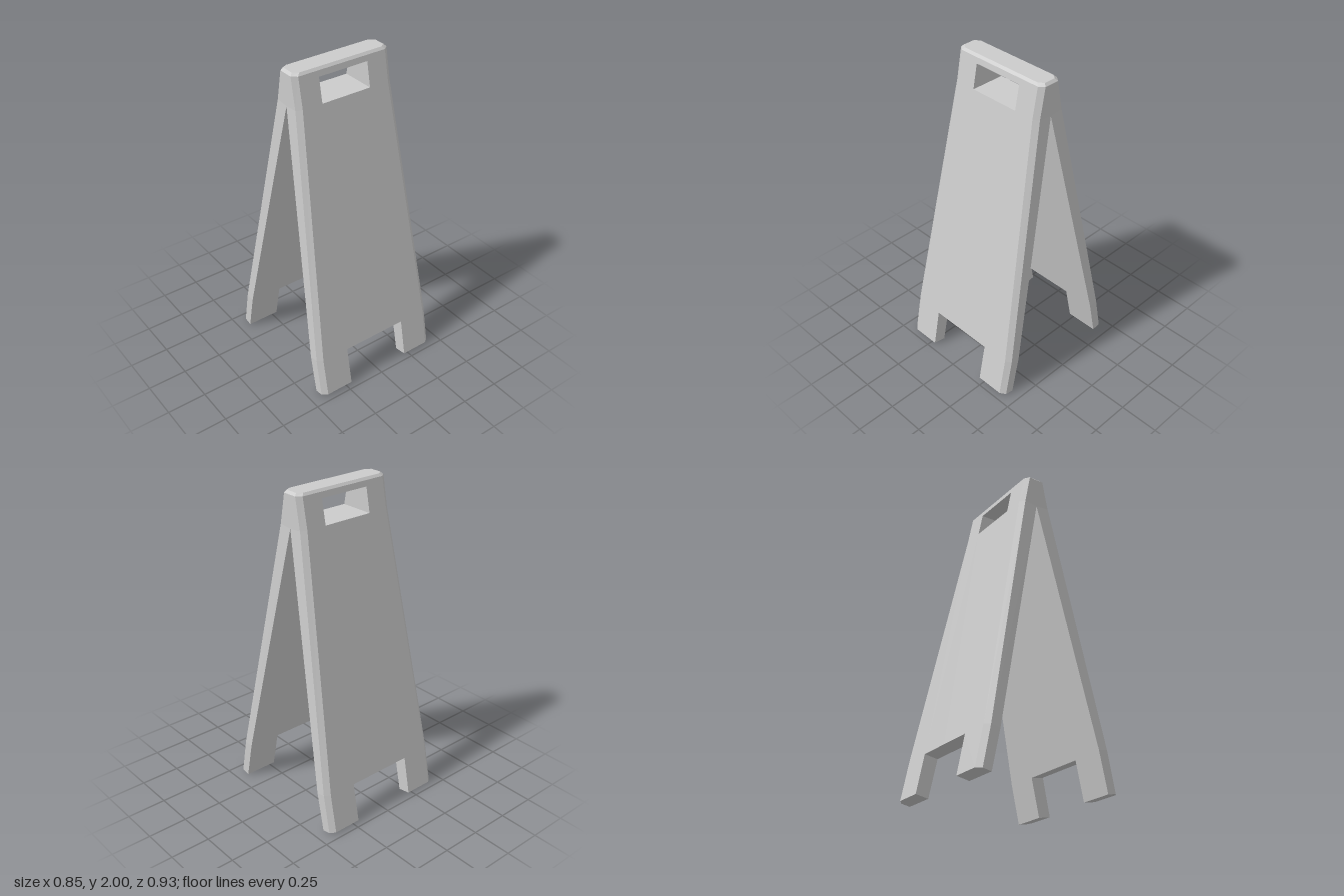
import * as THREE from 'three';

const material = new THREE.MeshStandardMaterial({ color: 0xcccccc });

// Depth of the sloping outer and inner panel surfaces at height y
const outerZ = (y) => 0.073 + (1.985 - y) * 0.1995;
const innerZ = (y) => Math.max(0, (1.79 - y) * 0.215);
const outer = (x, y) => [x, y, outerZ(y)];
const inner = (x, y) => [x, y, innerZ(y)];

// Side edge from top to foot: face edge, chamfer edge, inner edge
const rows = [
  [[0.28, 2, 0.06], [0.312, 2, 0.038], [0.312, 2, 0]],
  [outer(0.295, 1.985), [0.327, 1.985, 0.048], [0.327, 1.985, 0]],
  [outer(0.295, 1.8), [0.327, 1.797, 0.085], inner(0.327, 1.79)],
  [outer(0.395, 0.26), [0.427, 0.255, 0.391], inner(0.427, 0.245)],
  [outer(0.395, 0.015), [0.427, 0.01, 0.44], inner(0.427, 0)],
];

// Split a flat outline, counter-clockwise in x/y, into triangles on a surface
function face(points, surface, flip) {
  const contour = points.map(([x, y]) => new THREE.Vector2(x, y));
  return THREE.ShapeUtils.triangulateShape(contour, []).map((tri) => {
    const corners = tri.map((i) => surface(...points[i]));
    return flip ? corners.reverse() : corners;
  });
}

// Side strips between two rows
const strips = (a, b) => [0, 1].map((c) => [b[c], b[c + 1], a[c + 1], a[c]]);

// Mirror quarter polygons in x (and the given z signs) into a flat-faced mesh
function mirrored(name, polygons, zSigns) {
  const positions = [];
  for (const sz of zSigns) for (const sx of [1, -1]) {
    for (const polygon of polygons) {
      const p = polygon.map(([x, y, z]) => [x * sx, y, z * sz]);
      if (sx * sz < 0) p.reverse();
      for (let i = 1; i < p.length - 1; i++) positions.push(...p[0], ...p[i], ...p[i + 1]);
    }
  }
  const geometry = new THREE.BufferGeometry();
  geometry.setAttribute('position', new THREE.Float32BufferAttribute(positions, 3));
  geometry.computeVertexNormals();
  const mesh = new THREE.Mesh(geometry, material);
  mesh.name = name;
  return mesh;
}

export function createModel() {
  const group = new THREE.Group();
  group.name = 'foldingFloorSign';

  // Half of one leaning panel, with its foot and the notch between the feet
  const footOut = outer(0.215, 0.015), footIn = inner(0.215, 0);
  const notchOut = outer(0.215, 0.255), notchIn = inner(0.215, 0.24);
  const [footFace, footChamfer, footEdge] = rows[4];
  const panel = [
    ...face([
      [0, 0.255], [0.215, 0.255], [0.215, 0.015], [0.395, 0.015], [0.395, 0.26],
      [0.295, 1.8], [0.295, 1.985], [0, 1.985], [0, 1.95], [0.165, 1.95], [0.165, 1.8], [0, 1.8],
    ], outer, false),
    ...face([
      [0, 0.24], [0.215, 0.24], [0.215, 0], [0.427, 0], [0.427, 0.245], [0.327, 1.79], [0, 1.79],
    ], inner, true),
    ...strips(rows[1], rows[2]),
    ...strips(rows[2], rows[3]),
    ...strips(rows[3], rows[4]),
    [footEdge, footChamfer, footFace, footOut, footIn],
    [footIn, footOut, notchOut, notchIn],
    [notchIn, notchOut, outer(0, 0.255), inner(0, 0.24)],
  ];
  group.add(mirrored('frontPanel', panel, [1]), mirrored('backPanel', panel, [-1]));

  // Bevelled top joining both panels
  const cap = [
    [[0, 2, 0], [0, 2, 0.06], ...rows[0]],
    [outer(0, 1.985), rows[1][0], rows[0][0], [0, 2, 0.06]],
    ...strips(rows[0], rows[1]),
  ];
  group.add(mirrored('topCap', cap, [1, -1]));

  // Walls of the hand slot running straight through
  const w = 0.165, low = 1.8, high = 1.95;
  const slot = [
    [[0, low, 0], outer(0, low), outer(w, low), [w, low, 0]],
    [[w, high, 0], outer(w, high), outer(0, high), [0, high, 0]],
    [[w, low, 0], outer(w, low), outer(w, high), [w, high, 0]],
  ];
  group.add(mirrored('handleSlot', slot, [1, -1]));

  return group;
}
